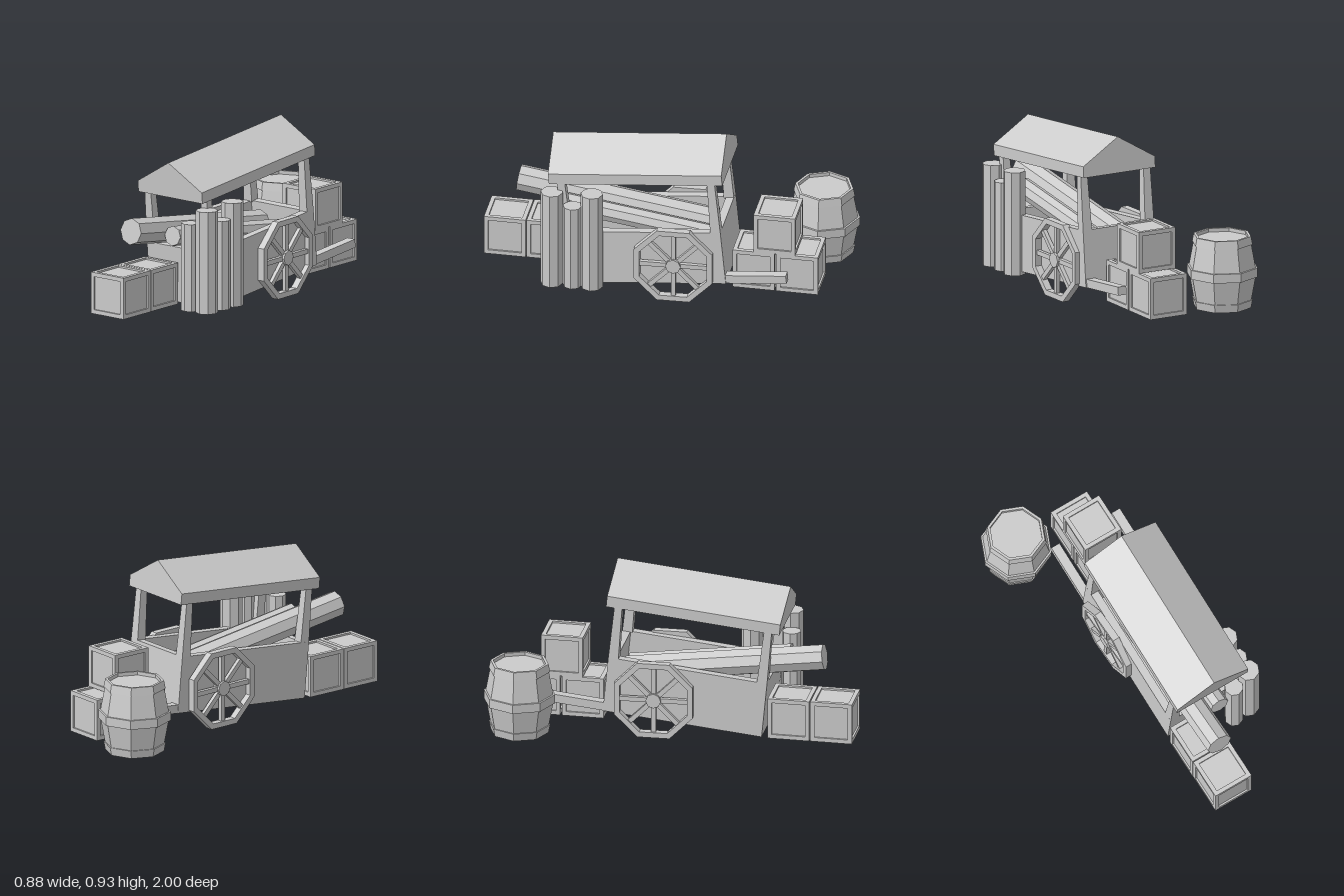
import * as THREE from 'three';

const mat = new THREE.MeshStandardMaterial({ color: 0xcccccc, flatShading: true });

function add(parent, name, geo, x = 0, y = 0, z = 0) {
  const m = new THREE.Mesh(geo, mat);
  m.name = name;
  m.position.set(x, y, z);
  parent.add(m);
  return m;
}

function group(parent, name, x, y, z) {
  const g = new THREE.Group();
  g.name = name;
  g.position.set(x, y, z);
  parent.add(g);
  return g;
}

const box = (w, h, d) => new THREE.BoxGeometry(w, h, d);

// Box whose top shrinks towards its outer corner (sx, sz give the outer side)
function postGeometry(sx, sz, base, top, h) {
  const g = box(base, h, base);
  const p = g.attributes.position;
  const shift = (base - top) / 2;
  for (let i = 0; i < p.count; i++) {
    if (p.getY(i) < 0) continue;
    p.setX(i, p.getX(i) * top / base + sx * shift * 0.4);
    p.setZ(i, p.getZ(i) * top / base + sz * shift * 0.4);
  }
  g.computeVertexNormals();
  return g;
}

// Crate: recessed core inside a frame of twelve bars
function crate(parent, x, y, z, s = 0.23) {
  const c = group(parent, 'crate', x, y + s / 2, z);
  const t = 0.023, o = (s - t) / 2, l = s - 2 * t;
  add(c, 'cratePanels', box(s - 0.02, s - 0.02, s - 0.02));
  for (const a of [-o, o]) for (const b of [-o, o]) {
    add(c, 'crateBar', box(t, s, t), a, 0, b);
    add(c, 'crateBar', box(l, t, t), 0, a, b);
    add(c, 'crateBar', box(t, t, l), a, b, 0);
  }
}

function octagon(apothem, Type) {
  const s = new Type(), r = apothem / Math.cos(Math.PI / 8);
  for (let i = 0; i < 8; i++) {
    const a = Math.PI / 8 + i * Math.PI / 4;
    s[i ? 'lineTo' : 'moveTo'](r * Math.cos(a), r * Math.sin(a));
  }
  s.closePath();
  return s;
}

// Eight-sided spoked wheel
function wheel(parent, x, y, z) {
  const w = group(parent, 'wheel', x, y, z);
  const R = 0.215, depth = 0.04;
  const ring = octagon(R, THREE.Shape);
  ring.holes.push(octagon(R - 0.03, THREE.Path));
  const rim = new THREE.ExtrudeGeometry(ring, { depth, bevelEnabled: false });
  add(w, 'rim', rim.translate(0, 0, -depth / 2));
  const hub = new THREE.CylinderGeometry(0.042, 0.042, depth + 0.006, 8).rotateX(Math.PI / 2);
  add(w, 'hub', hub);
  for (let i = 0; i < 8; i++) {
    const spoke = box(R - 0.04, 0.026, 0.022).translate(R / 2 + 0.005, 0, 0);
    add(w, 'spoke', spoke).rotation.z = i * Math.PI / 4;
  }
  w.rotation.y = Math.PI / 2 + 0.035;
}

function cart(parent) {
  // Whole cart leans forward on its front edge
  const c = group(parent, 'cart', 0.1375, 0.0775, 0.0625);
  c.rotation.x = 0.096;
  const W = 0.445, H = 0.315, L = 0.88, t = 0.045;

  // Open bed
  add(c, 'floor', box(W, t, L), 0, t / 2, 0);
  for (const s of [-1, 1]) {
    add(c, 'sideWall', box(t, H - t, L), s * (W - t) / 2, (H + t) / 2, 0);
    add(c, 'endWall', box(W - 2 * t, H - t, t), 0, (H + t) / 2, s * (L - t) / 2);
    add(c, 'handle', box(0.052, 0.047, 0.36), s * 0.192 - 0.002, 0.0235, -0.595);
    // Tapered roof posts
    for (const e of [-1, 1]) {
      const h = 0.31, b = 0.056;
      add(c, 'roofPost', postGeometry(s, e, b, 0.042, h),
        s * (W - b) / 2, H + h / 2 - 0.005, e * (L - b) / 2);
    }
  }

  // Gabled roof
  const gable = new THREE.Shape([[-0.225, 0.61], [0.225, 0.61], [0.225, 0.672], [0, 0.808], [-0.225, 0.672]]
    .map(([x, y]) => new THREE.Vector2(x, y)));
  add(c, 'roof', new THREE.ExtrudeGeometry(gable, { depth: 0.96, bevelEnabled: false }), 0, 0, -0.48);
}

// Eight-sided barrel with three hoops and a recessed lid
function barrel(parent, x, y, z) {
  const profile = [[0, 0], [0.16, 0], [0.169, 0.045], [0.162, 0.045], [0.186, 0.175], [0.197, 0.175],
    [0.197, 0.225], [0.186, 0.225], [0.162, 0.355], [0.169, 0.355], [0.16, 0.4], [0.145, 0.4],
    [0.145, 0.38], [0, 0.38]].map(([r, h]) => new THREE.Vector2(r, h));
  add(parent, 'barrel', new THREE.LatheGeometry(profile, 8), x, y, z);
}

export function createModel() {
  const model = new THREE.Group();
  model.name = 'merchantCart';
  const ground = 0.035;

  cart(model);
  wheel(model, -0.107, 0.215, -0.09);
  wheel(model, 0.374, 0.215, -0.09);
  barrel(model, -0.245, ground, -0.803);

  // Crates: two in front, a stack of three behind
  crate(model, 0.025, ground, 0.885);
  crate(model, 0.023, ground, 0.65);
  crate(model, 0.125, ground, -0.505);
  crate(model, 0.125, ground, -0.745);
  crate(model, 0.125, ground + 0.23, -0.62);

  // Upright logs leaning by the front corner: x, z, radius, top
  for (const [x, z, r, top] of [[0.277, 0.595, 0.052, 0.52], [0.378, 0.58, 0.061, 0.603],
    [0.382, 0.465, 0.052, 0.53], [0.375, 0.36, 0.061, 0.612]]) {
    const h = top - ground;
    add(model, 'uprightLog', new THREE.CylinderGeometry(r, r, h, 8), x, ground + h / 2, z);
  }

  // Logs lying in the bed: x, y, z of the front end, radius, length
  for (const [x, y, z, r, l] of [[0.045, 0.477, 0.823, 0.073, 1.1], [0.17, 0.434, 0.62, 0.055, 0.9]]) {
    const geo = new THREE.CylinderGeometry(r, r, l, 8).rotateX(Math.PI / 2).translate(0, 0, -l / 2);
    add(model, 'lyingLog', geo, x, y, z).rotation.x = -0.14;
  }
  return model;
}
